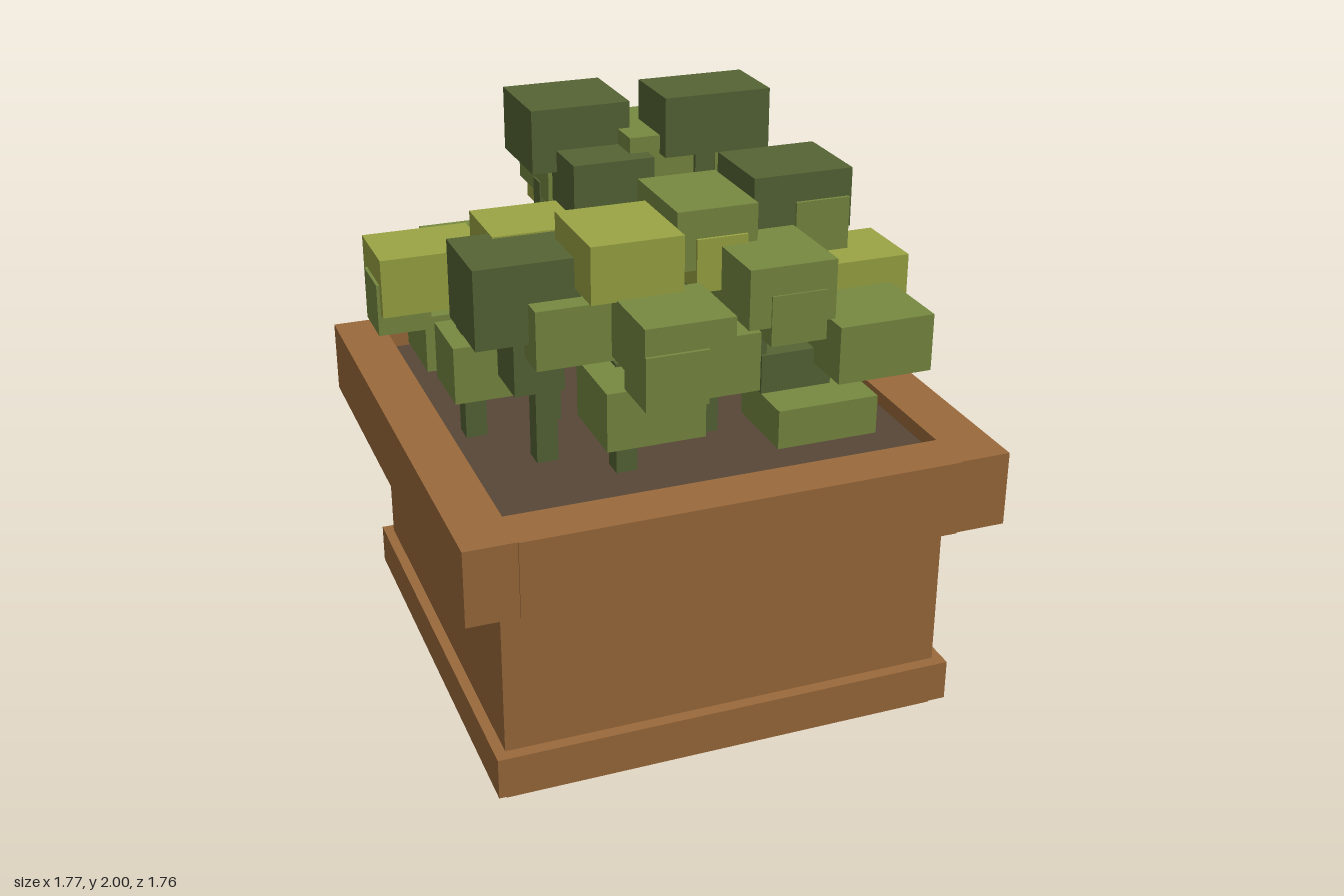
import * as THREE from 'three';

const mat = (name, color) => {
  const m = new THREE.MeshStandardMaterial({ color });
  m.name = name;
  return m;
};

export function createModel() {
  const model = new THREE.Group();
  model.name = 'pottedShrub';
  const wood = mat('terracotta', 0x9b6a3b);
  const soil = mat('soil', 0x574737);
  const light = mat('lightLeaf', 0x9ba544);
  const mid = mat('midLeaf', 0x788a42);
  const dark = mat('darkLeaf', 0x556435);

  // Box from its limits on each axis
  const box = (parent, name, m, x0, x1, y0, y1, z0, z1) => {
    const mesh = new THREE.Mesh(new THREE.BoxGeometry(x1 - x0, y1 - y0, z1 - z0), m);
    mesh.position.set((x0 + x1) / 2, (y0 + y1) / 2, (z0 + z1) / 2);
    mesh.name = name;
    parent.add(mesh);
  };
  const group = (name) => {
    const g = new THREE.Group();
    g.name = name;
    model.add(g);
    return g;
  };

  // Planter: body, base band, four rim boards and soil
  const planter = group('planter');
  box(planter, 'body', wood, -0.735, 0.745, 0, 0.9, -0.74, 0.74);
  box(planter, 'baseBand', wood, -0.77, 0.78, 0.035, 0.175, -0.775, 0.78);
  box(planter, 'rimRight', wood, -0.875, -0.71, 0.73, 0.98, -0.88, 0.875);
  box(planter, 'rimLeft', wood, 0.715, 0.885, 0.73, 0.98, -0.88, 0.875);
  box(planter, 'rimBack', wood, -0.71, 0.715, 0.73, 0.98, -0.885, -0.72);
  box(planter, 'rimFront', wood, -0.71, 0.715, 0.73, 0.98, 0.715, 0.88);
  box(planter, 'soilBed', soil, -0.72, 0.725, 0.8, 0.93, -0.73, 0.725);

  // Stems: centre x, centre z, top
  const stems = group('stems');
  [
    [-0.61, 0.05, 1.35], [-0.45, 0.3, 1.45], [-0.24, 0.45, 1.3], [-0.06, 0.0, 1.8],
    [0.1, 0.28, 1.6], [0.17, 0.06, 1.8], [0.25, -0.2, 1.6], [-0.2, -0.42, 1.6],
    [0.36, 0.2, 1.65], [0.5, -0.16, 1.45], [0.24, -0.46, 1.5], [-0.35, 0.02, 1.5],
  ].forEach(([x, z, top]) =>
    box(stems, 'stem', dark, x - 0.035, x + 0.035, 0.9, top, z - 0.035, z + 0.035));

  // Leaf blocks: x limits, y limits, z limits
  const leaves = group('foliage');
  const add = (name, m, rows) => rows.forEach((r) => box(leaves, name, m, ...r));

  add('lightLeafBlock', light, [
    [-0.88, -0.54, 1.36, 1.55, -0.22, 0.03],
    [-0.39, -0.10, 1.55, 1.73, 0.27, 0.60],
    [0.10, 0.38, 1.48, 1.67, -0.73, -0.42],
    [0.45, 0.79, 1.27, 1.46, 0.06, 0.33],
    [-0.57, -0.23, 1.46, 1.65, -0.05, 0.21],
    [0.35, 0.64, 1.14, 1.33, -0.09, 0.165],
    [-0.56, -0.30, 1.03, 1.17, -0.56, -0.29],
    [-0.20, -0.03, 1.47, 1.64, -0.645, -0.45],
    [-0.02, 0.145, 1.50, 1.67, 0.30, 0.50],
  ]);

  add('midLeafBlock', mid, [
    [-0.31, -0.03, 1.36, 1.555, 0.55, 0.83],
    [-0.08, 0.18, 1.57, 1.76, 0.15, 0.49],
    [0.10, 0.42, 1.52, 1.73, -0.42, -0.11],
    [-0.23, 0.04, 1.55, 1.755, -0.63, -0.30],
    [-0.595, -0.28, 1.17, 1.40, -0.65, -0.34],
    [0.42, 0.75, 1.36, 1.55, -0.55, -0.23],
    [0.40, 0.72, 1.19, 1.38, 0.35, 0.64],
    [0.06, 0.34, 1.45, 1.64, 0.40, 0.715],
    [-0.73, -0.45, 1.12, 1.31, -0.31, -0.05],
    [-0.70, -0.44, 1.10, 1.29, -0.05, 0.18],
    [-0.08, 0.20, 1.68, 1.87, -0.25, 0.08],
    [0.22, 0.56, 0.98, 1.11, 0.31, 0.60],
    [-0.365, -0.05, 1.10, 1.29, 0.38, 0.66],
    [-0.535, -0.24, 1.33, 1.52, 0.25, 0.52],
    [-0.10, 0.12, 1.23, 1.42, 0.40, 0.67],
    [0.20, 0.50, 1.10, 1.29, -0.41, -0.09],
    [0.12, 0.42, 1.42, 1.60, -0.07, 0.25],
    // Smaller offshoots
    [-0.89, -0.72, 1.29, 1.46, -0.17, 0.00],
    [-0.31, -0.115, 1.30, 1.47, 0.66, 0.84],
    [0.13, 0.31, 1.39, 1.55, 0.55, 0.72],
    [0.60, 0.795, 1.20, 1.37, 0.14, 0.31],
    [0.20, 0.375, 1.74, 1.91, -0.06, 0.10],
    [0.35, 0.53, 1.54, 1.71, 0.23, 0.40],
    [0.20, 0.36, 1.41, 1.57, -0.735, -0.56],
    [-0.28, -0.05, 1.52, 1.68, 0.20, 0.36],
  ]);

  add('darkLeafBlock', dark, [
    [-0.70, -0.37, 1.39, 1.645, 0.16, 0.45],
    [0.21, 0.54, 1.61, 1.80, 0.10, 0.39],
    [0.02, 0.37, 1.81, 2.00, -0.11, 0.13],
    [-0.365, -0.04, 1.75, 1.955, -0.335, -0.03],
    [0.42, 0.67, 1.39, 1.59, -0.33, -0.06],
    [-0.285, -0.02, 1.62, 1.82, -0.08, 0.14],
    [-0.57, -0.41, 1.20, 1.38, 0.22, 0.40],
    [0.00, 0.24, 1.20, 1.38, 0.20, 0.45],
    [0.22, 0.46, 1.06, 1.24, 0.165, 0.46],
    [0.18, 0.40, 1.35, 1.51, 0.27, 0.54],
    [-0.31, -0.05, 1.28, 1.46, -0.46, -0.20],
  ]);

  return model;
}
